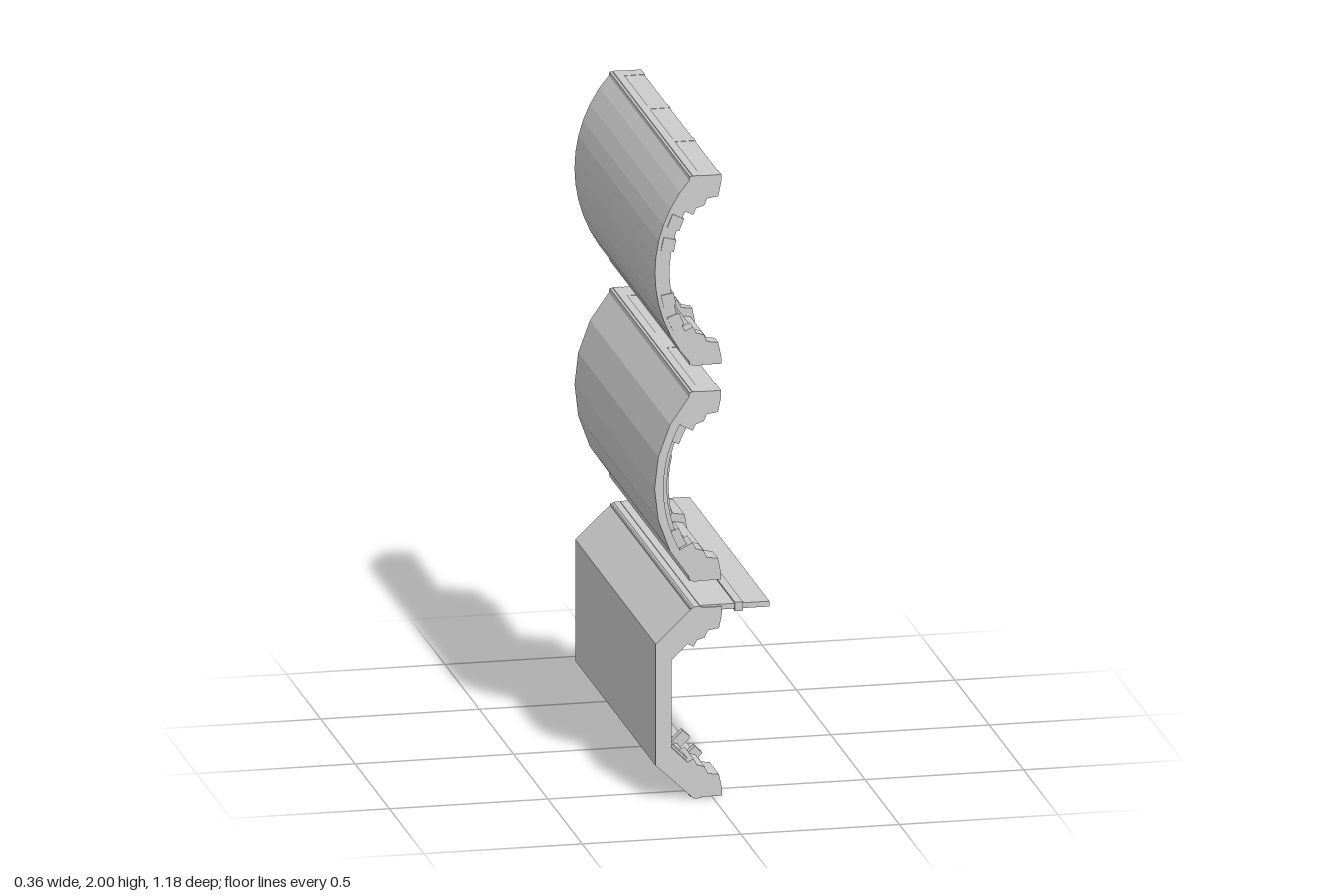
import * as THREE from 'three';

const material = new THREE.MeshStandardMaterial({ color: 0xcccccc, flatShading: true, side: THREE.DoubleSide });

// Inner wall surfaces: for a height v from the panel's middle, [x, normal x, normal y]
const CX = 0.268;
const arcWall = (v, r = 0.42) => {
  const x = CX - Math.sqrt(r * r - v * v);
  return [x, (CX - x) / r, -v / r];
};
const flatWall = (v) => {
  const a = Math.abs(v);
  return a <= 0.16 ? [-0.15, 1, 0] : [-0.15 + (a - 0.16), 0.71, -0.71 * Math.sign(v)];
};

const toShape = (pts) => new THREE.Shape(pts.map((p) => new THREE.Vector2(p[0], p[1])));
const mirrorY = (half) => [...half, ...half.map(([x, y]) => [x, -y]).reverse()];
const arcPts = (r, v0, v1, n) => Array.from({ length: n + 1 }, (_, i) => {
  const v = v0 + (v1 - v0) * i / n;
  return [arcWall(v, r)[0], v];
});
const octagon = (u, v, w, h, c) => [
  [u - w / 2 + c, v - h / 2], [u + w / 2 - c, v - h / 2], [u + w / 2, v - h / 2 + c], [u + w / 2, v + h / 2 - c],
  [u + w / 2 - c, v + h / 2], [u - w / 2 + c, v + h / 2], [u - w / 2, v + h / 2 - c], [u - w / 2, v - h / 2 + c]];

// One wall panel with tools that lay details on its inner face: u runs along -z, v up, h out of the wall
function makePanel(name, y, wall) {
  const group = new THREE.Group();
  group.name = name;
  group.position.y = y;
  const add = (part, geo) => {
    const mesh = new THREE.Mesh(geo, material);
    mesh.name = part;
    group.add(mesh);
  };
  const lay = (part, geo) => {
    const g = geo.index ? geo.toNonIndexed() : geo;
    const p = g.attributes.position;
    for (let i = 0; i < p.count; i++) {
      const u = p.getX(i), v = p.getY(i), h = p.getZ(i);
      const [x, nx, ny] = wall(v);
      p.setXYZ(i, x + nx * h, v + ny * h, -u);
    }
    g.computeVertexNormals();
    add(part, g);
  };
  return {
    group, add,
    // Profile in x and y, drawn out along the length
    run(part, pts, u0, u1) {
      const g = new THREE.ExtrudeGeometry(toShape(pts), { depth: u1 - u0, bevelEnabled: false });
      add(part, g.translate(0, 0, -u1));
    },
    // Raised block that follows the wall
    block(part, u0, u1, v0, v1, h) {
      const n = Math.max(1, Math.ceil((v1 - v0) / 0.04));
      const g = new THREE.BoxGeometry(u1 - u0, v1 - v0, h + 0.015, 1, n, 1);
      lay(part, g.translate((u0 + u1) / 2, (v0 + v1) / 2, (h - 0.015) / 2));
    },
    // Raised plate of any outline, with an optional opening
    plate(part, pts, h, hole) {
      const s = toShape(pts);
      if (hole) s.holes.push(new THREE.Path(hole.map((p) => new THREE.Vector2(p[0], p[1]))));
      const g = new THREE.ExtrudeGeometry(s, { depth: h + 0.01, bevelEnabled: false });
      lay(part, g.translate(0, 0, -0.01));
    },
    // Thin raised conduit along a path
    pipe(part, pts, w, h) {
      this.plate(part, [...pts.map(([u, v]) => [u, v + w / 2]), ...pts.map(([u, v]) => [u, v - w / 2]).reverse()], h);
    },
  };
}

// Stepped ledge profile at the top and bottom of every panel, and its fuller end version
const ledge = [[-0.07, 0.303], [0.028, 0.303], [0.028, 0.285], [0.015, 0.262], [-0.02, 0.255], [-0.035, 0.235], [-0.08, 0.225]];
const endLedge = [[-0.06, 0.304], [0.03, 0.304], [0.03, 0.285], [0.02, 0.235], [-0.015, 0.23], [-0.025, 0.208], [-0.05, 0.2], [-0.06, 0.18], [-0.1, 0.2]];

function addLedges(p, u0, u1, ribs) {
  for (const s of [1, -1]) {
    const flip = (pts) => pts.map(([x, y]) => [x, y * s]);
    p.run('ledge', flip(ledge), u0, u1);
    for (const [a, b] of ribs) p.run('ledgeBracket', flip(endLedge), a, b);
  }
}

function roundPanel(name, y, u0, u1, segments) {
  const p = makePanel(name, y, arcWall);
  const outer = arcPts(0.448, 0.305, -0.305, segments);
  p.run('curvedShell', [...outer, [-0.035, -0.305], ...arcPts(0.42, -0.27, 0.27, 14), [-0.035, 0.305]], u0, u1);
  return p;
}

function upperPanel() {
  const p = roundPanel('upperWallPanel', 1.695, -0.58, 0.59, 12);
  const ribs = [[-0.58, -0.53], [-0.2, -0.165], [0.165, 0.2], [0.535, 0.59]];
  addLedges(p, -0.58, 0.59, ribs);
  for (const [a, b] of ribs) {
    p.block('rib', a, b, -0.25, 0.25, 0.018);
    for (const v of [-0.16, -0.09, 0.09, 0.16]) p.block('ribPad', a - 0.004, b + 0.004, v - 0.02, v + 0.02, 0.025);
  }
  for (const s of [-1, 1]) {
    const c = s * 0.355;
    p.plate('windowFrame', octagon(c, 0, 0.15, 0.195, 0.035), 0.016, octagon(c, 0, 0.122, 0.167, 0.03));
    p.plate('windowPane', octagon(c, 0, 0.1, 0.145, 0.025), 0.008);
    for (const d of [-0.1, 0.1]) {
      p.block('clamp', c + d - 0.025, c + d + 0.025, 0.215, 0.26, 0.06);
      p.block('clampTip', c + d - 0.016, c + d + 0.016, 0.175, 0.215, 0.04);
    }
    p.block('sideStrip', c - 0.15, c + 0.15, 0.195, 0.205, 0.01);
    p.block('sideStrip', c - 0.12, c + 0.12, -0.17, -0.16, 0.006);
    p.block('lowerStep', c - 0.17, c + 0.17, -0.24, -0.21, 0.025);
    p.block('lowerSill', c - 0.17, c + 0.17, -0.26, -0.24, 0.045);
    // Trapezoid handles in the middle bay
    const t = (k) => [[-0.09 * k, s * (0.235 + 0.018 * k)], [0.09 * k, s * (0.235 + 0.018 * k)], [0.055 * k, s * (0.235 - 0.02 * k)], [-0.055 * k, s * (0.235 - 0.02 * k)]];
    p.plate('handle', t(1), 0.05, t(0.7));
  }
  for (const v of [0.185, 0.16, 0.135, 0.11, 0.085, -0.085, -0.11, -0.14, -0.165, -0.19])
    p.block('slat', -0.165, 0.165, v - 0.008, v + 0.008, 0.01);
  p.plate('hatchFrame', octagon(0, 0, 0.105, 0.105, 0.004), 0.02, octagon(0, 0, 0.07, 0.07, 0.003));
  p.block('hatch', -0.025, 0.025, -0.025, 0.025, 0.012);
  return p.group;
}

function middlePanel() {
  const p = roundPanel('middleWallPanel', 1, -0.575, 0.59, 6);
  addLedges(p, -0.575, 0.59, [[-0.575, -0.495], [-0.085, 0.085], [0.495, 0.59]]);
  for (const s of [-1, 1]) {
    const a = s * 0.525;
    p.block('endRib', a - 0.03, a + 0.03, -0.25, 0.25, 0.015);
    for (const v of [-0.19, 0.19]) p.block('ribClamp', a - 0.035, a + 0.035, v - 0.045, v + 0.045, 0.028);
    p.block('ribPad', a - 0.02, a + 0.02, -0.1, 0.1, 0.022);
    // Vents above and slot below each bay
    const c = s * 0.29;
    p.plate('ventFrame', octagon(c, 0.245, 0.38, 0.07, 0.008), 0.035, octagon(c, 0.245, 0.34, 0.04, 0.006));
    p.plate('ventHood', [[c - 0.11, 0.228], [c + 0.11, 0.228], [c + 0.085, 0.262], [c - 0.085, 0.262]], 0.05);
    p.plate('slotFrame', octagon(c, -0.235, 0.38, 0.05, 0.006), 0.035, octagon(c, -0.235, 0.34, 0.02, 0.004));
    p.block('bayTrim', c - 0.19, c + 0.19, 0.195, 0.207, 0.012);
    // Control box with conduits on both sides
    const k = s * 0.305;
    p.plate('controlBox', octagon(k, -0.005, 0.075, 0.07, 0.008), 0.035, octagon(k, -0.005, 0.05, 0.045, 0.005));
    p.block('controlScreen', k - 0.025, k + 0.025, -0.03, 0.018, 0.022);
    p.block('controlShelf', k - 0.07, k + 0.07, -0.072, -0.05, 0.045);
    for (const d of [-1, 1]) {
      const end = d === s ? s * 0.495 : s * 0.085;
      const path = [[k + d * 0.037, -0.01], [k + d * 0.06, -0.01], [k + d * 0.075, -0.04], [k + d * 0.13, -0.04], [k + d * 0.145, -0.01], [end, -0.01]];
      p.pipe('conduit', d > 0 ? path : path.reverse(), 0.014, 0.012);
    }
  }
  // Left bay strips and teeth, then right bay strips and buttons
  p.block('strip', -0.45, -0.125, 0.09, 0.118, 0.008);
  p.block('strip', -0.45, -0.125, -0.115, -0.085, 0.015);
  p.block('strip', -0.45, -0.14, -0.17, -0.158, 0.012);
  p.block('strip', 0.25, 0.475, 0.142, 0.175, 0.01);
  p.block('strip', 0.25, 0.475, -0.17, -0.142, 0.018);
  for (let i = 0; i < 4; i++) {
    p.block('dash', -0.45 + i * 0.085, -0.41 + i * 0.085, 0.168, 0.182, 0.008);
    p.block('dash', 0.16 + i * 0.09, 0.205 + i * 0.09, 0.107, 0.12, 0.008);
    p.block('tooth', -0.44 + i * 0.08, -0.4 + i * 0.08, -0.168, -0.13, 0.02);
  }
  for (const u of [0.178, 0.29, 0.355, 0.436]) p.block('button', u - 0.02, u + 0.02, -0.14, -0.095, 0.02);
  // Middle column with rungs
  p.block('column', -0.085, 0.085, -0.25, 0.25, 0.012);
  p.block('columnCap', -0.06, 0.06, 0.15, 0.245, 0.03);
  p.block('columnCap', -0.06, 0.06, -0.245, -0.2, 0.03);
  for (const v of [0.1, 0.07, -0.1, -0.125, -0.15, -0.175]) p.block('rung', -0.05, 0.05, v - 0.005, v + 0.005, 0.018);
  return p.group;
}

function lowerPanel() {
  const p = makePanel('lowerWallPanel', 0.31, flatWall);
  const U0 = -0.59, U1 = 0.58;
  p.run('angularShell', mirrorY([[-0.035, 0.275], [-0.035, 0.308], [-0.06, 0.308], [-0.18, 0.195]]).concat(
    [[-0.035, -0.275], [-0.15, -0.16], [-0.15, 0.16]]), U0, U1);
  addLedges(p, U0, U1, [[U0, -0.455], [0.435, U1]]);
  for (const [a, b, c] of [[U0, -0.45, -0.525], [0.43, U1, 0.502]]) {
    p.run('endFrame', [[-0.16, -0.16], [-0.13, -0.14], [-0.13, 0.14], [-0.16, 0.16]], a, b);
    for (const s of [-1, 1]) p.run('endFrameCorner', [[-0.16, s * 0.16], [-0.13, s * 0.14], [-0.045, s * 0.225], [-0.06, s * 0.27]], a, b);
    for (const s of [-1, 1]) {
      const v = s * 0.185;
      p.block('frameClamp', c - 0.035, c + 0.035, v - 0.045, v + 0.045, 0.035);
      p.plate('frameStrap', [[c - 0.018, s * 0.03], [c + 0.018, s * 0.03], [c + 0.03, s * 0.13], [c - 0.03, s * 0.13]], 0.028);
    }
  }
  // Upright pegs
  for (const u of [-0.345, -0.17, 0.145, 0.3]) for (const s of [-1, 1]) {
    p.block('peg', u - 0.01, u + 0.01, s > 0 ? 0.08 : -0.2, s > 0 ? 0.2 : -0.075, 0.028);
    p.block('ledgeTab', u - 0.065, u - 0.04, s * 0.255 - 0.012, s * 0.255 + 0.012, 0.07);
  }
  // Seams and conduits along the back wall
  p.block('seam', -0.45, 0.43, -0.004, 0.004, 0.006);
  p.block('upperTrim', -0.45, 0.43, 0.172, 0.184, 0.012);
  p.block('lowerTrim', -0.45, 0.43, -0.21, -0.196, 0.016);
  p.plate('seamPlate', [[-0.23, 0], [-0.1, 0], [-0.135, 0.035], [-0.195, 0.035]], 0.008);
  p.plate('seamPlate', [[0.08, 0], [0.115, -0.035], [0.175, -0.035], [0.21, 0]], 0.008);
  p.pipe('conduit', [[-0.45, -0.125], [-0.26, -0.125], [-0.235, -0.15], [-0.1, -0.15], [-0.075, -0.125],
    [0.055, -0.125], [0.08, -0.15], [0.21, -0.15], [0.235, -0.125], [0.43, -0.125]], 0.014, 0.01);
  for (const u of [-0.23, -0.08, 0.08, 0.23])
    p.plate('smallBrace', [[u - 0.012, 0.13], [u + 0.004, 0.13], [u + 0.012, 0.165], [u - 0.004, 0.165]], 0.012);
  p.plate('latch', [[-0.075, 0.25], [-0.045, 0.205], [0.045, 0.205], [0.075, 0.25]], 0.05, [[-0.045, 0.24], [-0.03, 0.215], [0.03, 0.215], [0.045, 0.24]]);
  for (let i = 0; i < 5; i++) p.block('grille', 0.38, 0.43, -0.185 - i * 0.016, -0.178 - i * 0.016, 0.03);
  // Overhanging shelf with a raised ridge
  const bar = (part, x0, x1, y0, y1, z0, z1) =>
    p.add(part, new THREE.BoxGeometry(x1 - x0, y1 - y0, z1 - z0).translate((x0 + x1) / 2, (y0 + y1) / 2, (z0 + z1) / 2));
  bar('shelf', -0.04, 0.18, 0.293, 0.31, -0.578, 0.585);
  bar('shelfRidge', 0.07, 0.095, 0.286, 0.315, -0.582, 0.59);
  for (let i = 0; i < 6; i++) bar('shelfClip', 0.125, 0.14, 0.286, 0.295, -0.5 + i * 0.19, -0.47 + i * 0.19);
  return p.group;
}

export function createModel() {
  const model = new THREE.Group();
  model.name = 'wallPanelSet';
  model.add(upperPanel(), middlePanel(), lowerPanel());
  return model;
}
